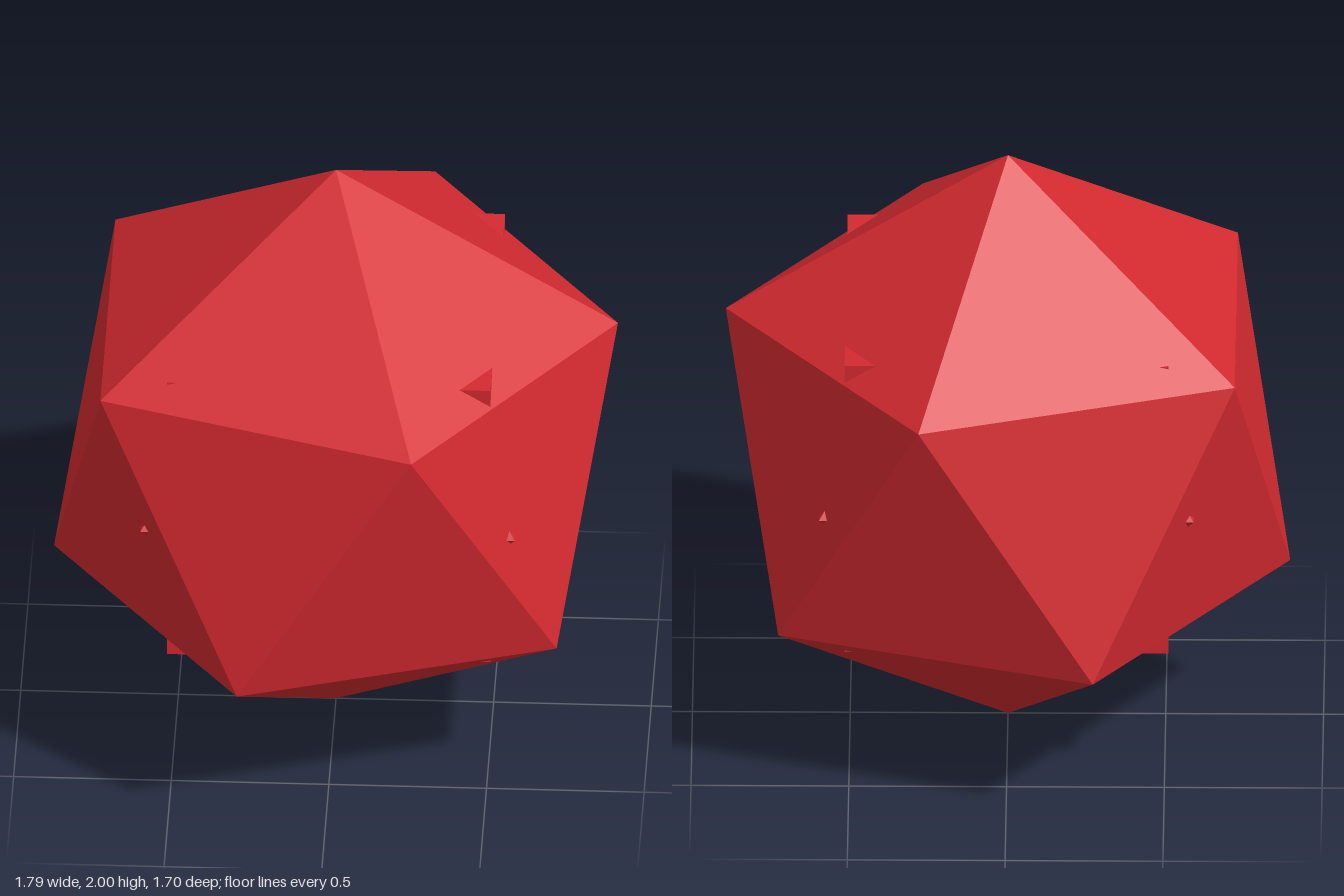
import * as THREE from 'three';

export function createModel() {
  const group = new THREE.Group();
  const red = new THREE.MeshStandardMaterial({ color: 0xd42a30, flatShading: true });

  // All solids share one centre, one unit above the ground
  const add = (name, geometry) => {
    const mesh = new THREE.Mesh(geometry, red);
    mesh.name = name;
    mesh.position.y = 1;
    group.add(mesh);
  };

  // Outer icosahedron: one vertex straight up, one upper-ring vertex toward +x
  const golden = (1 + Math.sqrt(5)) / 2;
  add('icosahedron', new THREE.IcosahedronGeometry(1, 0)
    .rotateX(-Math.atan(golden))
    .rotateY(Math.PI / 2));

  // Inner cube whose corners just pierce the faces
  add('innerCube', new THREE.BoxGeometry(1.026, 1.026, 1.026));

  // Inner octahedron whose side tips just pierce the faces on the diagonals
  add('innerOctahedron', new THREE.OctahedronGeometry(0.84, 0).rotateY(Math.PI / 4));

  return group;
}
